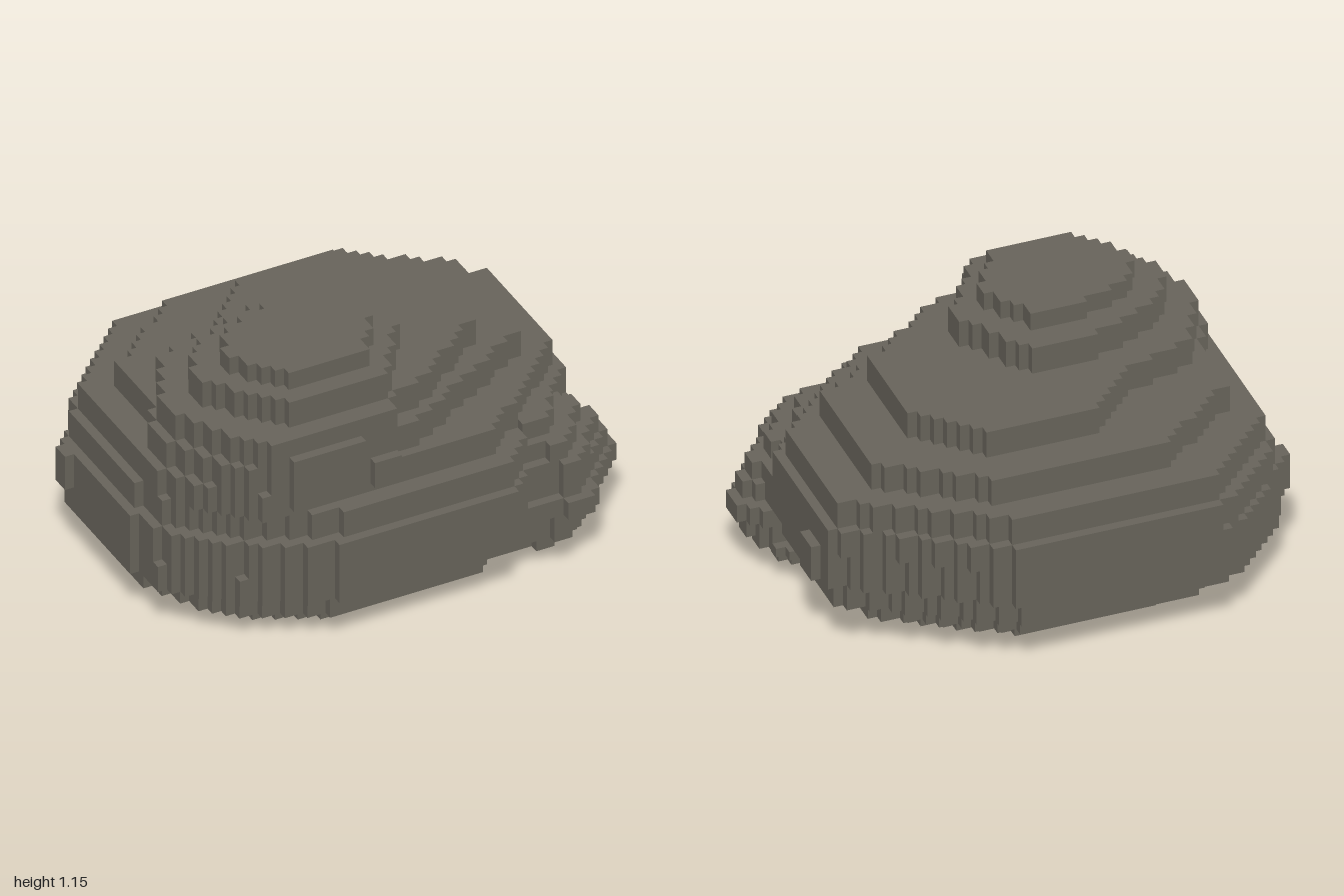
import * as THREE from 'three';

const U = 1 / 26; // one grid cell

// Snap a polygon (in cells, x/z) to the grid row by row, giving a stepped outline
function steppedShape(poly) {
  const left = [], right = [];
  for (let row = -19; row < 19; row++) {
    const z = row + 0.5, hits = [];
    poly.forEach(([x1, z1], i) => {
      const [x2, z2] = poly[(i + 1) % poly.length];
      if ((z1 > z) !== (z2 > z)) hits.push(x1 + (x2 - x1) * (z - z1) / (z2 - z1));
    });
    if (hits.length < 2) continue;
    const a = Math.round(Math.min(...hits)), b = Math.round(Math.max(...hits));
    if (b <= a) continue;
    left.push([a, row], [a, row + 1]);
    right.push([b, row], [b, row + 1]);
  }
  const loop = [...left, ...right.reverse()];
  // Drop points that lie on a straight run
  const pts = loop.filter((p, i) => {
    const q = loop[(i + loop.length - 1) % loop.length], r = loop[(i + 1) % loop.length];
    return (p[0] - q[0]) * (r[1] - p[1]) !== (p[1] - q[1]) * (r[0] - p[0]);
  });
  return new THREE.Shape(pts.map(([x, z]) => new THREE.Vector2(x * U, -z * U)));
}

// Stack of slabs sharing one unit outline; each layer is [bottom, top, x0, x1, z0, z1]
function stack(name, outline, layers, material) {
  const group = new THREE.Group();
  group.name = name;
  layers.forEach(([y0, y1, x0, x1, z0, z1], i) => {
    const poly = outline.map(([u, v]) => [x0 + u * (x1 - x0), z0 + v * (z1 - z0)]);
    const geo = new THREE.ExtrudeGeometry(steppedShape(poly), { depth: (y1 - y0) * U, bevelEnabled: false });
    geo.rotateX(-Math.PI / 2);
    const mesh = new THREE.Mesh(geo, material);
    mesh.name = `${name}Layer${i + 1}`;
    mesh.position.y = y0 * U;
    group.add(mesh);
  });
  return group;
}

export function createModel() {
  const stone = new THREE.MeshStandardMaterial({ color: 0x68645b });
  stone.name = 'stone';
  const model = new THREE.Group();
  model.name = 'boulder';

  // Underside of the main rock: a lopsided octagon
  const baseOutline = [[0.23, 0], [0.67, 0], [1, 0.26], [1, 0.65], [0.74, 1], [0.37, 1], [0.12, 0.85], [0, 0.58], [0, 0.26]];
  model.add(stack('rockBase', baseOutline, [
    [0, 3, -18, 13, -11, 13],
    [3, 6, -23, 18, -15, 17],
  ], stone));

  // Widest part, fuller towards the right-hand corners
  const bellyOutline = [[0.23, 0], [0.65, 0], [1, 0.28], [1, 0.66], [0.73, 1], [0.37, 1], [0.25, 0.95], [0.12, 0.85],
    [0.03, 0.72], [0, 0.58], [0, 0.25], [0.08, 0.13], [0.17, 0.02]];
  model.add(stack('rockBelly', bellyOutline, [
    [6, 9, -25, 22, -18, 19],
    [9, 13, -25, 23, -19, 19],
    [13, 16, -24, 23, -19, 18],
    [16, 19, -23, 22, -18, 16],
  ], stone));

  // Upper terraces, sloping down to the valley beside the peak
  const terraceOutline = [[0.26, 0], [0.71, 0], [1, 0.25], [1, 0.68], [0.56, 1], [0.37, 1], [0, 0.58], [0, 0.26]];
  model.add(stack('rockTerrace', terraceOutline, [
    [19, 22, -20, 18, -15, 15],
    [22, 25, -11, 13, -11, 13],
  ], stone));

  // Taller peak at the front
  const peakOutline = [[0.35, 0], [0.76, 0], [1, 0.47], [1, 0.53], [0.78, 1], [0.27, 1], [0.12, 0.82], [0, 0.53], [0, 0.45], [0.14, 0.1]];
  model.add(stack('peakBase', peakOutline, [
    [16, 19, -23, 4, -5, 16],
    [19, 22, -22, 4, -5, 16],
    [22, 25, -21, 4, -5, 16],
  ], stone));
  const summitOutline = [[0.5, 0], [0.77, 0], [1, 0.47], [1, 0.53], [0.76, 1], [0.27, 1], [0.12, 0.76], [0, 0.53], [0, 0.45], [0.13, 0.2]];
  model.add(stack('peakSummit', summitOutline, [
    [25, 28, -18, 4, -3, 14],
    [28, 30, -15, 1, 0, 12],
  ], stone));

  // Small rock leaning on the front corner, widest at a third of its height
  const smallOutline = [[0, 0.9], [0.4, 0.93], [0.5, 1], [0.58, 1], [0.75, 0.78], [1, 0.42], [1, 0.35], [0.88, 0.2], [0.62, 0], [0.12, 0]];
  model.add(stack('smallRock', smallOutline, [
    [2, 4, 9, 22, 4, 15],
    [4, 5, 9, 24, 2, 17],
    [5, 7, 9, 25, 4, 17],
    [7, 9, 10, 26, 4, 18],
    [9, 11, 10, 25, 5, 17],
    [11, 13, 11, 24, 5, 17],
    [13, 15, 12, 22, 6, 16],
    [15, 17, 13, 19, 8, 14],
  ], stone));

  // Thin chips standing proud of the faces
  const square = [[0, 0], [1, 0], [1, 1], [0, 1]];
  model.add(stack('chip', square, [
    [9, 13, -26, -25, -9, -7],
    [9, 13, 23, 24, -7, -4],
    [17, 23, -13, -5, 16, 17],
    [17, 20, -4, -1, 16, 17],
  ], stone));

  return model;
}
